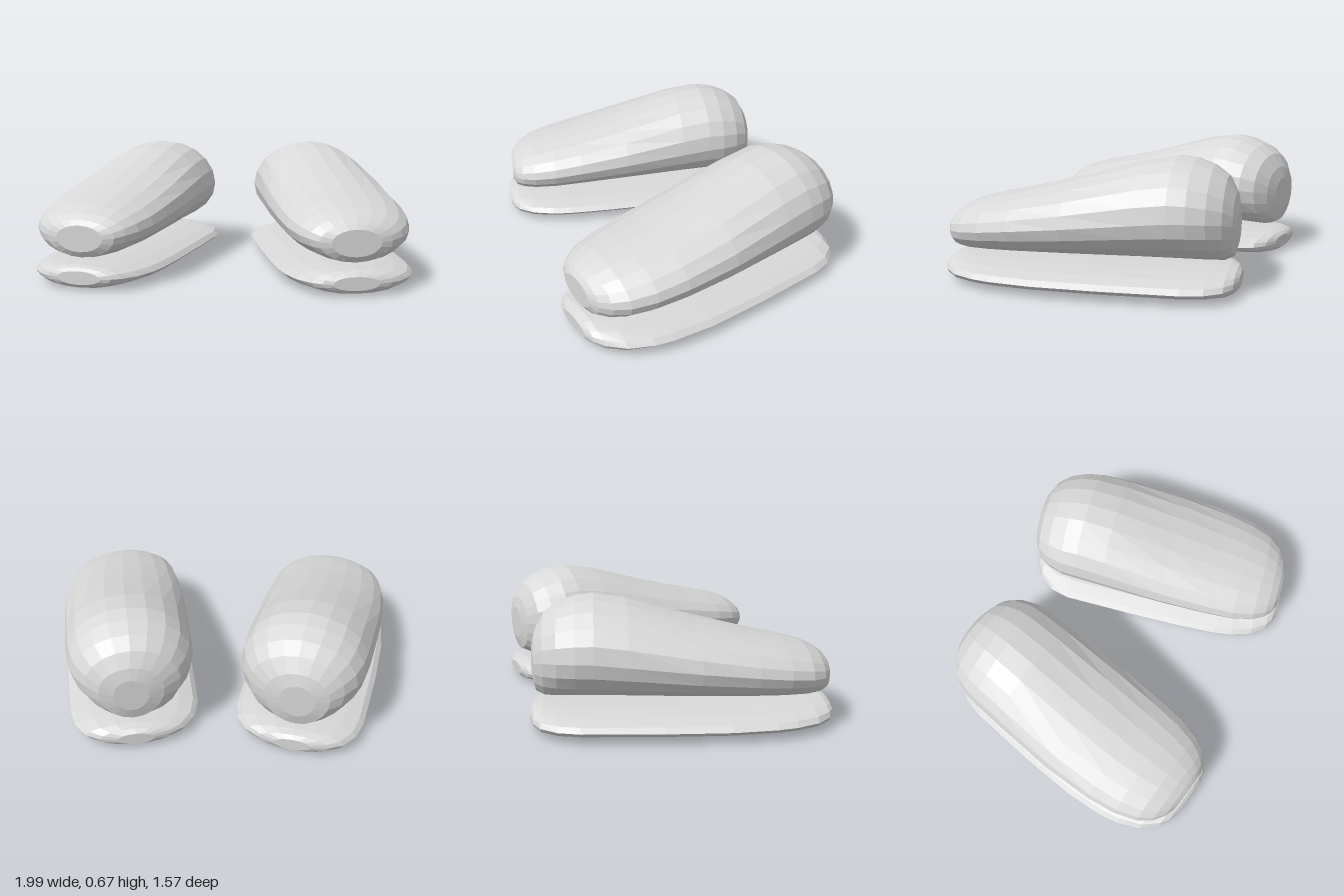
import * as THREE from 'three';

// Skin a row of oval sections, heel to toe: [z, xInner, xOuter, yBottom, yWidest, yTop]
function loft(sections, side, sides) {
  const pos = [], index = [];
  for (const [z, xi, xo, yb, ym, yt] of sections) {
    for (let j = 0; j < sides; j++) {
      const a = (j / sides) * Math.PI * 2;
      const s = Math.sin(a);
      const x = side * (xi + xo) / 2 + Math.cos(a) * (xo - xi) / 2;
      pos.push(x, ym + s * (s > 0 ? yt - ym : ym - yb), z);
    }
  }
  const last = sections.length - 1;
  for (let i = 0; i < last; i++) {
    for (let j = 0; j < sides; j++) {
      const k = (j + 1) % sides;
      const a = i * sides + j, b = i * sides + k;
      index.push(a, b, b + sides, a, b + sides, a + sides);
    }
  }
  // flat end caps
  for (let j = 1; j < sides - 1; j++) {
    index.push(0, j + 1, j);
    index.push(last * sides, last * sides + j, last * sides + j + 1);
  }
  const g = new THREE.BufferGeometry();
  g.setAttribute('position', new THREE.Float32BufferAttribute(pos, 3));
  g.setIndex(index);
  g.computeVertexNormals();
  return g;
}

// Sole plan, along the foot: [z, xInner, xOuter, half thickness]
const solePlan = [
  [-0.675, 0.45, 0.64, 0.035],
  [-0.655, 0.36, 0.73, 0.052],
  [-0.615, 0.285, 0.803, 0.061],
  [-0.53, 0.22, 0.862, 0.0625],
  [-0.42, 0.193, 0.89, 0.0625],
  [-0.02, 0.19, 0.92, 0.0625],
  [0.31, 0.194, 0.93, 0.0625],
  [0.53, 0.204, 0.912, 0.0625],
  [0.63, 0.218, 0.89, 0.0625],
  [0.75, 0.256, 0.837, 0.0625],
  [0.83, 0.315, 0.76, 0.06],
  [0.86, 0.36, 0.705, 0.05],
  [0.875, 0.41, 0.645, 0.035],
];
const soleSections = solePlan.map(([z, xi, xo, h]) => [z, xi, xo, 0.064 - h, 0.064, 0.064 + h]);

// Rounded shoe body, tall heel to low toe
const upperSections = [
  [-0.66, 0.46, 0.64, 0.25, 0.35, 0.44],
  [-0.643, 0.38, 0.715, 0.185, 0.365, 0.505],
  [-0.60, 0.295, 0.78, 0.163, 0.385, 0.58],
  [-0.53, 0.245, 0.835, 0.164, 0.395, 0.63],
  [-0.44, 0.215, 0.867, 0.165, 0.40, 0.663],
  [-0.35, 0.21, 0.88, 0.165, 0.40, 0.675],
  [-0.186, 0.208, 0.892, 0.164, 0.385, 0.65],
  [0.16, 0.206, 0.91, 0.16, 0.35, 0.55],
  [0.44, 0.217, 0.90, 0.157, 0.32, 0.478],
  [0.60, 0.232, 0.875, 0.154, 0.30, 0.443],
  [0.72, 0.264, 0.832, 0.152, 0.285, 0.412],
  [0.79, 0.305, 0.777, 0.153, 0.275, 0.38],
  [0.83, 0.35, 0.715, 0.16, 0.265, 0.35],
  [0.85, 0.405, 0.655, 0.19, 0.26, 0.325],
];

export function createModel() {
  const model = new THREE.Group();
  model.name = 'pairOfShoes';
  const lightGrey = new THREE.MeshStandardMaterial({ color: 0xd8d8d8, flatShading: true });
  lightGrey.name = 'lightGrey';

  for (const [name, side] of [['left', 1], ['right', -1]]) {
    const shoe = new THREE.Group();
    shoe.name = name + 'Shoe';
    const sole = new THREE.Mesh(loft(soleSections, side, 16), lightGrey);
    sole.name = name + 'Sole';
    const upper = new THREE.Mesh(loft(upperSections, side, 20), lightGrey);
    upper.name = name + 'Upper';
    shoe.add(sole, upper);
    // toes turned outward
    shoe.rotation.y = side * 0.192;
    model.add(shoe);
  }
  return model;
}
